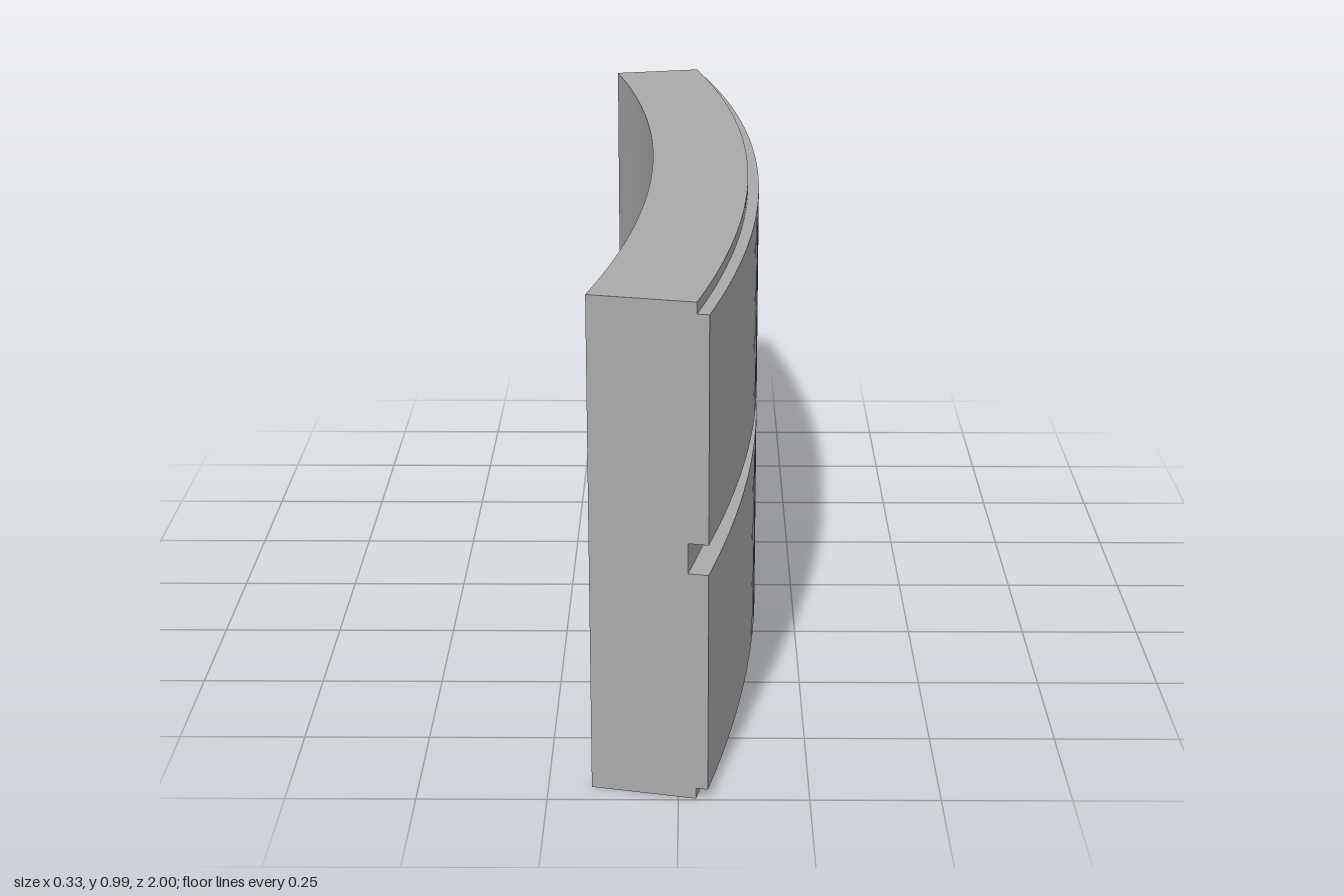
import * as THREE from 'three';
import { toCreasedNormals } from 'three/addons/utils/BufferGeometryUtils.js';

const OUTER = 4.6, INNER = 4.372, HEIGHT = 0.99;
const HALF = Math.asin(1 / OUTER);      // half the arc angle
const AXIS_X = 0.166 - OUTER;           // x of the centre of curvature
const ARC_STEPS = 48, SIDE_STEPS = 20;
const HOLE_R = 0.211, HOLE_Y = 0.495, FLOOR_X = 0.085;

// x of the concave face at a given z
const innerX = (z) => AXIS_X + Math.sqrt(INNER * INNER - z * z);

// Closed loops of points joined into a smooth skin
function skin(loops) {
  const n = loops[0].length, index = [];
  for (let v = 0; v < loops.length - 1; v++) {
    for (let u = 0; u < n; u++) {
      const a = v * n + u, b = v * n + (u + 1) % n;
      index.push(a, b, a + n, b, b + n, a + n);
    }
  }
  const geometry = new THREE.BufferGeometry().setFromPoints(loops.flat());
  geometry.setIndex(index);
  geometry.computeVertexNormals();
  return geometry;
}

// Outline of the concave face as [z, y], anticlockwise seen from -x
function faceOutline() {
  const points = [], end = INNER * Math.sin(HALF);
  const arcZ = (i) => INNER * Math.sin(HALF * (2 * i / ARC_STEPS - 1));
  for (let i = 0; i < ARC_STEPS; i++) points.push([arcZ(i), 0]);
  for (let i = 0; i < SIDE_STEPS; i++) points.push([end, HEIGHT * i / SIDE_STEPS]);
  for (let i = ARC_STEPS; i > 0; i--) points.push([arcZ(i), HEIGHT]);
  for (let i = SIDE_STEPS; i > 0; i--) points.push([-end, HEIGHT * i / SIDE_STEPS]);
  return points;
}

export function createModel() {
  const group = new THREE.Group();
  const grey = new THREE.MeshStandardMaterial({ color: 0xaaaaaa, side: THREE.DoubleSide });
  grey.name = 'plain grey';
  const add = (name, geometry) => {
    const mesh = new THREE.Mesh(geometry, grey);
    mesh.name = name;
    group.add(mesh);
    return mesh;
  };

  // Cross-section: stepped rims and a groove half way up
  const rim = OUTER - 0.023, groove = OUTER - 0.039;
  const profile = [
    [INNER, 0], [rim, 0], [rim, 0.022], [OUTER, 0.022],
    [OUTER, 0.465], [groove, 0.465], [groove, 0.525], [OUTER, 0.525],
    [OUTER, 0.968], [rim, 0.968], [rim, HEIGHT], [INNER, HEIGHT],
  ].map(([r, y]) => new THREE.Vector2(r, y));

  // Convex face with top and bottom
  const shell = new THREE.LatheGeometry(profile, ARC_STEPS, Math.PI / 2 - HALF, 2 * HALF);
  add('outerShell', toCreasedNormals(shell, 0.5)).position.x = AXIS_X;

  // Flat ends
  for (const side of [1, -1]) {
    const cap = add(side > 0 ? 'frontEnd' : 'backEnd', new THREE.ShapeGeometry(new THREE.Shape(profile)));
    cap.position.x = AXIS_X;
    cap.rotation.y = -side * HALF;
  }

  // Concave face around the round opening
  const outline = faceOutline();
  const circle = outline.map(([z, y]) => {
    const angle = Math.atan2(y - HOLE_Y, z);
    return [HOLE_R * Math.cos(angle), HOLE_Y + HOLE_R * Math.sin(angle)];
  });
  const rings = 14, loops = [];
  for (let k = 0; k <= rings; k++) {
    loops.push(outline.map(([z0, y0], i) => {
      const z = THREE.MathUtils.lerp(z0, circle[i][0], k / rings);
      const y = THREE.MathUtils.lerp(y0, circle[i][1], k / rings);
      return new THREE.Vector3(innerX(z), y, z);
    }));
  }
  add('innerFace', skin(loops));

  // Blind round hole
  const mouth = circle.map(([z, y]) => new THREE.Vector3(innerX(z), y, z));
  const floor = circle.map(([z, y]) => new THREE.Vector3(FLOOR_X, y, z));
  const centre = circle.map(() => new THREE.Vector3(FLOOR_X, HOLE_Y, 0));
  add('holeWall', skin([mouth, floor]));
  add('holeFloor', skin([floor, centre]));

  return group;
}
